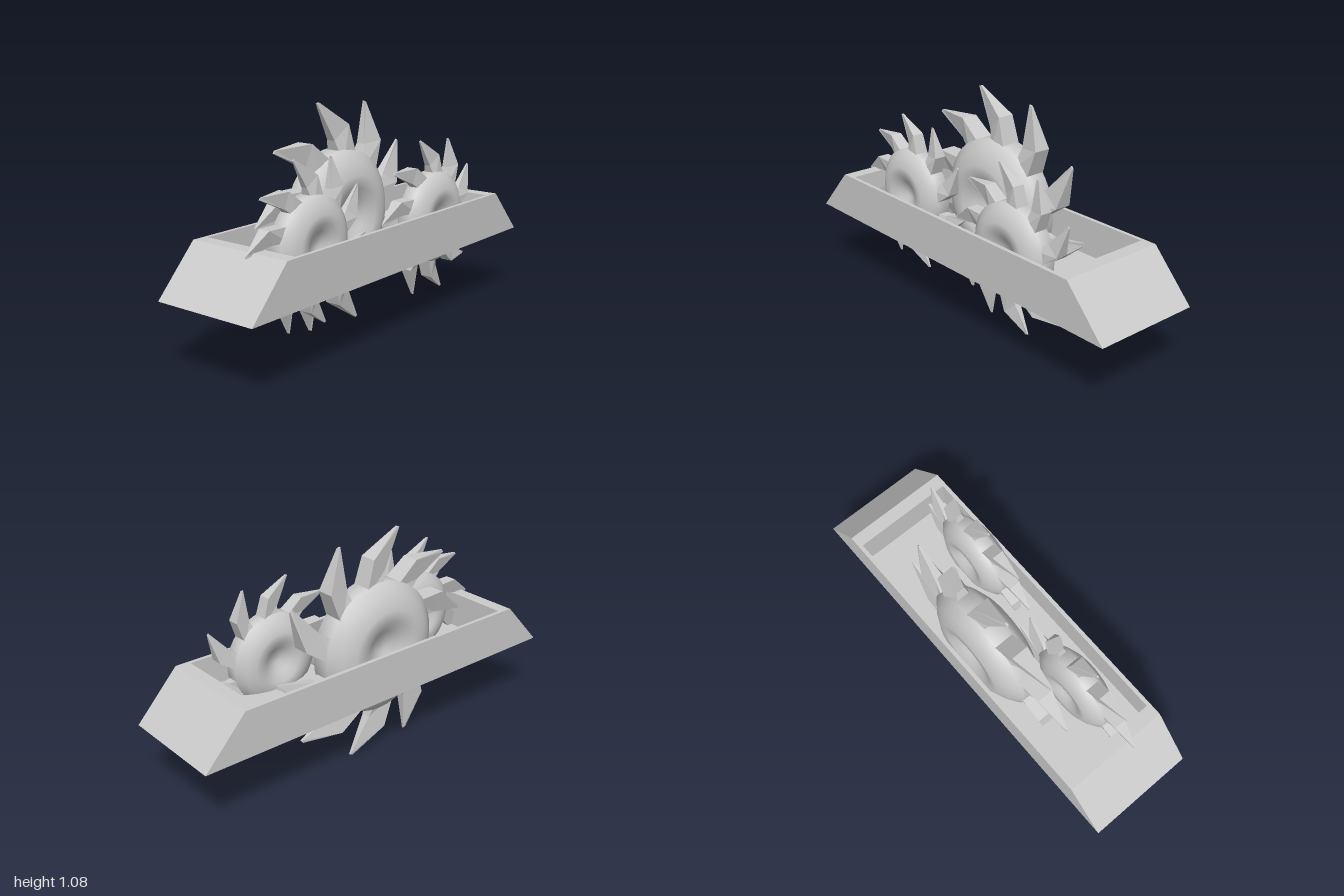
import * as THREE from 'three';

const grey = new THREE.MeshStandardMaterial({ color: 0xcccccc });
const greyFlat = new THREE.MeshStandardMaterial({ color: 0xcccccc, flatShading: true });

// Joins four-cornered rings into a closed faceted solid
function loft(rings) {
  const pos = [];
  const quad = (a, b, c, d) => [a, b, c, a, c, d].forEach((p) => pos.push(...p));
  for (let r = 0; r < rings.length - 1; r++) {
    for (let i = 0; i < 4; i++) {
      const j = (i + 1) % 4;
      quad(rings[r][i], rings[r][j], rings[r + 1][j], rings[r + 1][i]);
    }
  }
  const [a, b, c, d] = rings[0];
  quad(d, c, b, a);
  quad(...rings[rings.length - 1]);
  const geo = new THREE.BufferGeometry();
  geo.setAttribute('position', new THREE.Float32BufferAttribute(pos, 3));
  geo.computeVertexNormals();
  return geo;
}

// Open tray with sloping ends: outside, rim, then down to the inner floor
function createTray() {
  const ring = (x, y, z) => [[x, y, z], [x, y, -z], [-x, y, -z], [-x, y, z]];
  const tray = new THREE.Mesh(loft([
    ring(1, 0.335, 0.266),
    ring(0.795, 0.555, 0.266),
    ring(0.73, 0.555, 0.247),
    ring(0.73, 0.38, 0.247),
  ]), greyFlat);
  tray.name = 'tray';
  return tray;
}

// Hooked spike: trailing side [x, y, half depth], then leading side
function spikeGeometry() {
  const ring = ([rx, ry, rz], [lx, ly, lz]) =>
    [[rx, ry, rz], [rx, ry, -rz], [lx, ly, -lz], [lx, ly, lz]];
  return loft([
    ring([0.085, 0.27, 0.05], [-0.01, 0.25, 0.05]),
    ring([0.037, 0.43, 0.042], [-0.045, 0.36, 0.022]),
    ring([-0.13, 0.542, 0.004], [-0.145, 0.537, 0.004]),
  ]);
}

// Drum with bevelled shoulders and dished faces, turned about z
function drumGeometry() {
  const half = [[0, 0.05], [0.035, 0.052], [0.09, 0.08], [0.145, 0.112],
    [0.2, 0.115], [0.262, 0.085], [0.315, 0.046]];
  const profile = [
    ...half.map(([r, h]) => new THREE.Vector2(r, -h)),
    ...half.slice().reverse().map(([r, h]) => new THREE.Vector2(r, h)),
  ];
  return new THREE.LatheGeometry(profile, 40).rotateX(Math.PI / 2);
}

function createWheel(name, drumGeo, spikeGeo, spikeCount = 10) {
  const wheel = new THREE.Group();
  wheel.name = name;
  const drum = new THREE.Mesh(drumGeo, grey);
  drum.name = 'drum';
  wheel.add(drum);
  for (let i = 0; i < spikeCount; i++) {
    const spike = new THREE.Mesh(spikeGeo, greyFlat);
    spike.name = 'spike';
    spike.rotation.z = (i / spikeCount) * Math.PI * 2;
    wheel.add(spike);
  }
  return wheel;
}

export function createModel() {
  const model = new THREE.Group();
  model.name = 'spikedRollerTrap';
  model.add(createTray());

  const drumGeo = drumGeometry();
  const spikeGeo = spikeGeometry();
  // name, x, y, z, scale
  [
    ['largeWheel', -0.03, 0.542, -0.108, 1],
    ['rightWheel', -0.445, 0.518, 0.077, 0.7],
    ['leftWheel', 0.36, 0.504, 0.155, 0.7],
  ].forEach(([name, x, y, z, s]) => {
    const wheel = createWheel(name, drumGeo, spikeGeo);
    wheel.position.set(x, y, z);
    wheel.scale.setScalar(s);
    model.add(wheel);
  });
  return model;
}
